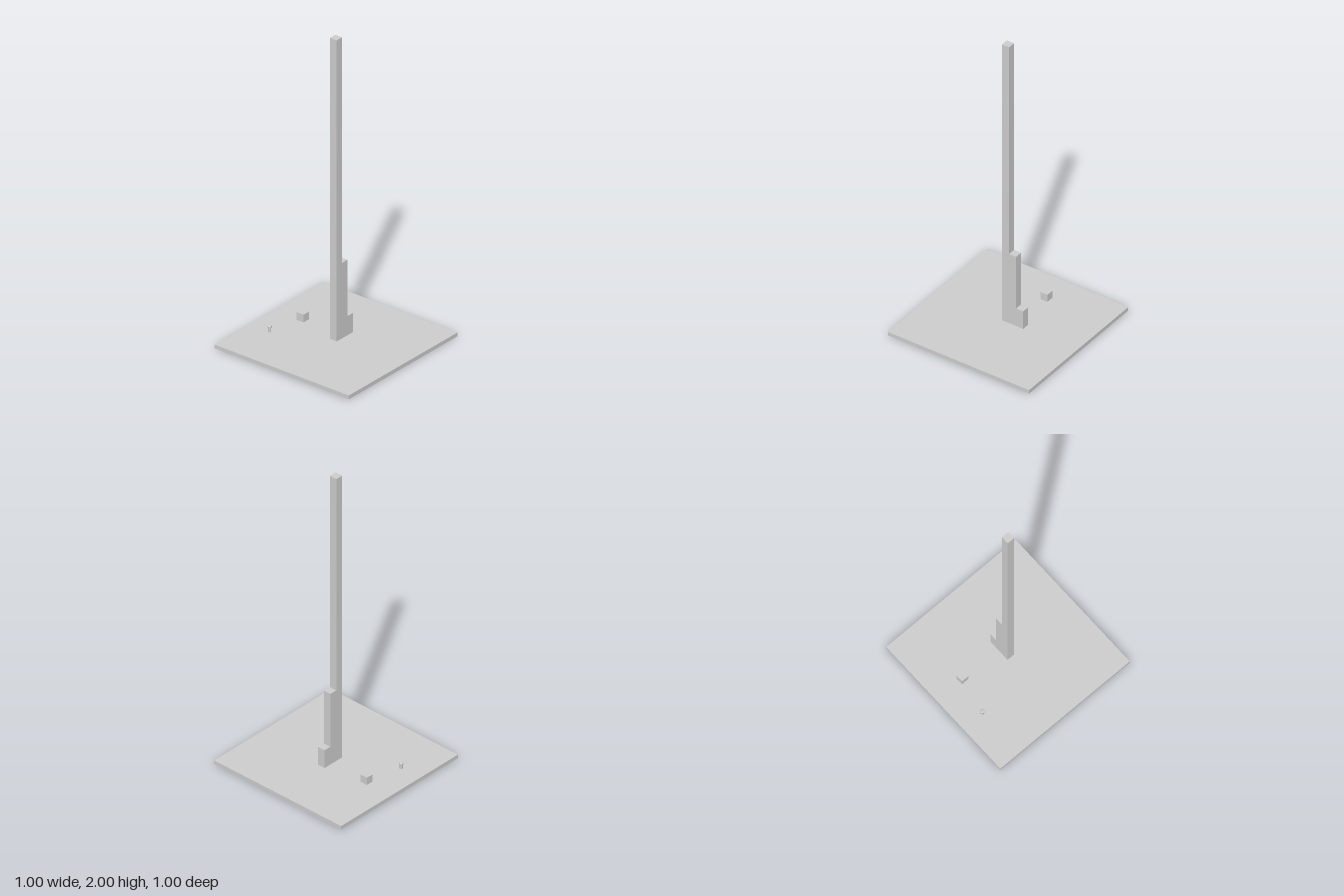
import * as THREE from 'three';

export function createModel() {
  const model = new THREE.Group();
  const material = new THREE.MeshStandardMaterial({ color: 0xcccccc, flatShading: true });
  const smooth = new THREE.MeshStandardMaterial({ color: 0xcccccc });
  const baseTop = 0.025;

  // A box standing with its underside at the given height
  function block(name, w, h, d, x, y, z) {
    const mesh = new THREE.Mesh(new THREE.BoxGeometry(w, h, d), material);
    mesh.name = name;
    mesh.position.set(x, y + h / 2, z);
    model.add(mesh);
  }

  // Square ground slab
  block('base', 1, baseTop, 1, 0, 0, 0);

  // Stepped tower: three square columns in a row, falling towards the back
  const columns = [['tallTower', 2], ['middleTower', 0.52], ['lowTower', 0.15]];
  columns.forEach(([name, top], i) =>
    block(name, 0.05, top - baseTop, 0.05, 0, baseTop, -0.05 * i));

  // Small cube to the side
  block('cube', 0.05, 0.05, 0.05, -0.298, baseTop, -0.062);

  // Small round post with a wider, bevelled head
  const post = new THREE.Group();
  post.name = 'post';
  post.position.set(-0.353, baseTop, 0.175);
  const stem = new THREE.Mesh(new THREE.CylinderGeometry(0.009, 0.009, 0.03, 24), smooth);
  stem.name = 'postStem';
  stem.position.y = 0.015;
  const head = new THREE.Mesh(new THREE.CylinderGeometry(0.0125, 0.0125, 0.01, 24), smooth);
  head.name = 'postHead';
  head.position.y = 0.033;
  const cap = new THREE.Mesh(new THREE.CylinderGeometry(0.009, 0.0125, 0.004, 24), smooth);
  cap.name = 'postCap';
  cap.position.y = 0.04;
  post.add(stem, head, cap);
  model.add(post);

  return model;
}
